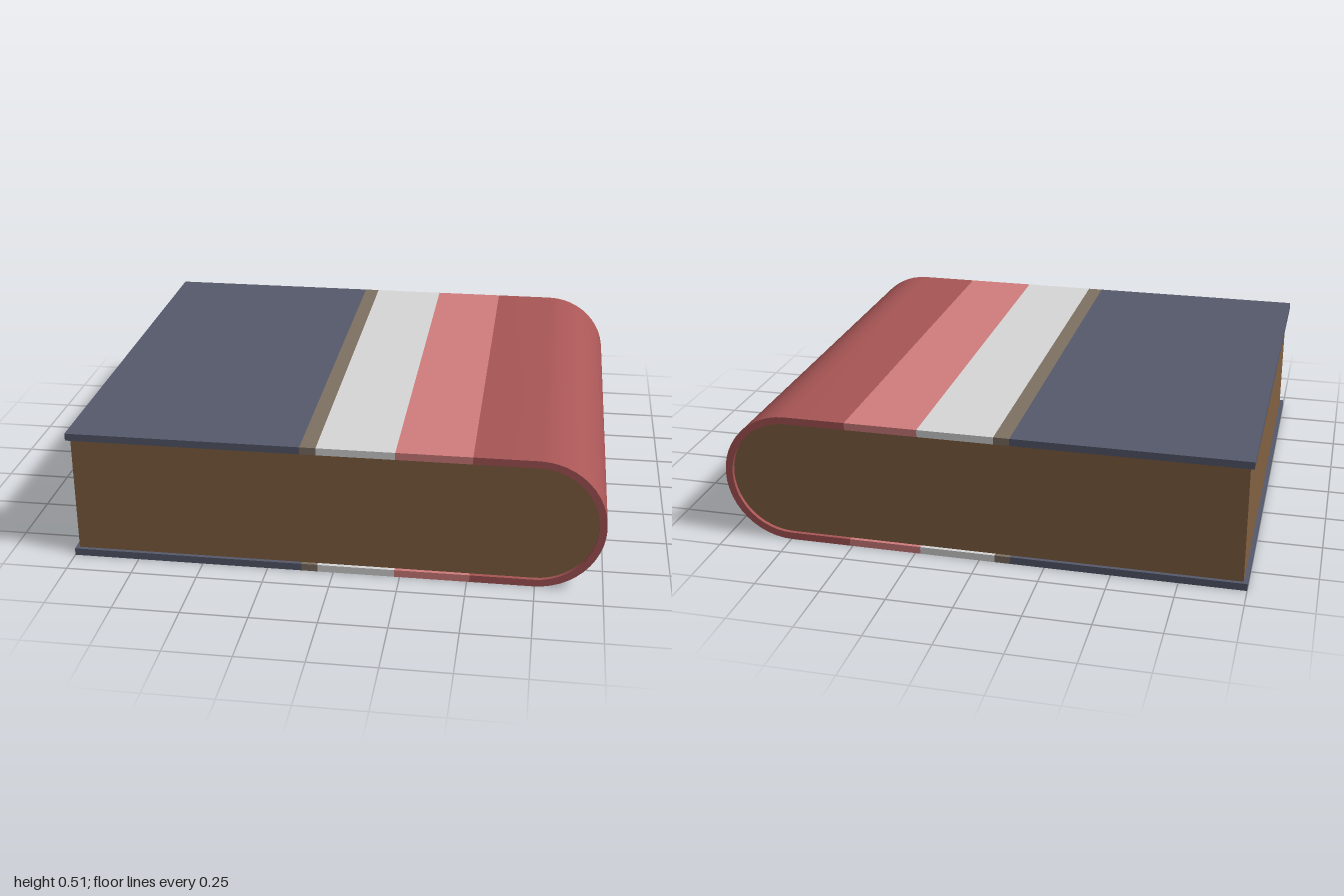
import * as THREE from 'three';
import { toCreasedNormals } from 'three/addons/utils/BufferGeometryUtils.js';

const H = 0.51, R = H / 2, T = 0.028, DEPTH = 1.79, CX = 1 - R;

const material = (name, color) => new THREE.MeshStandardMaterial({ name, color });

// Extrude an x-y shape along z, centred on z = 0
function slab(shape, depth, segments) {
  const geo = new THREE.ExtrudeGeometry(shape, { depth, curveSegments: segments, bevelEnabled: false });
  geo.translate(0, 0, -depth / 2);
  return toCreasedNormals(geo, 0.6);
}

export function createModel() {
  const book = new THREE.Group();
  book.name = 'book';
  const red = material('red', 0xa95656);
  const brown = material('brown', 0x826142);
  const stripes = [
    ['navyCover', -1, -0.12, material('navy', 0x565a6d)],
    ['tanStripe', -0.12, -0.06, material('tan', 0x7f7264)],
    ['whiteStripe', -0.06, 0.23, material('white', 0xd8d8d8)],
    ['pinkStripe', 0.23, 0.51, material('pink', 0xd37d7d)],
  ];
  const add = (name, geo, mat) => {
    const mesh = new THREE.Mesh(geo, mat);
    mesh.name = name;
    book.add(mesh);
    return mesh;
  };

  // Coloured bands of both cover boards
  for (const [name, x0, x1, mat] of stripes) {
    for (const [side, y] of [['Top', H - T / 2], ['Bottom', T / 2]]) {
      add(name + side, new THREE.BoxGeometry(x1 - x0, T, DEPTH), mat).position.set((x0 + x1) / 2, y, 0);
    }
  }

  // Rounded spine wrapping from the bottom board to the top board
  const spine = new THREE.Shape();
  spine.moveTo(0.51, 0);
  spine.lineTo(CX, 0);
  spine.absarc(CX, R, R, -Math.PI / 2, Math.PI / 2, false);
  spine.lineTo(0.51, H);
  spine.lineTo(0.51, H - T);
  spine.lineTo(CX, H - T);
  spine.absarc(CX, R, R - T, Math.PI / 2, -Math.PI / 2, true);
  spine.lineTo(0.51, T);
  add('spine', slab(spine, DEPTH, 12), red);

  // Page block, set slightly inside the cover
  const pages = new THREE.Shape();
  pages.moveTo(-0.985, T);
  pages.lineTo(CX, T);
  pages.absarc(CX, R, R - T, -Math.PI / 2, Math.PI / 2, false);
  pages.lineTo(-0.985, H - T);
  add('pages', slab(pages, DEPTH - 0.03, 24), brown);

  return book;
}
